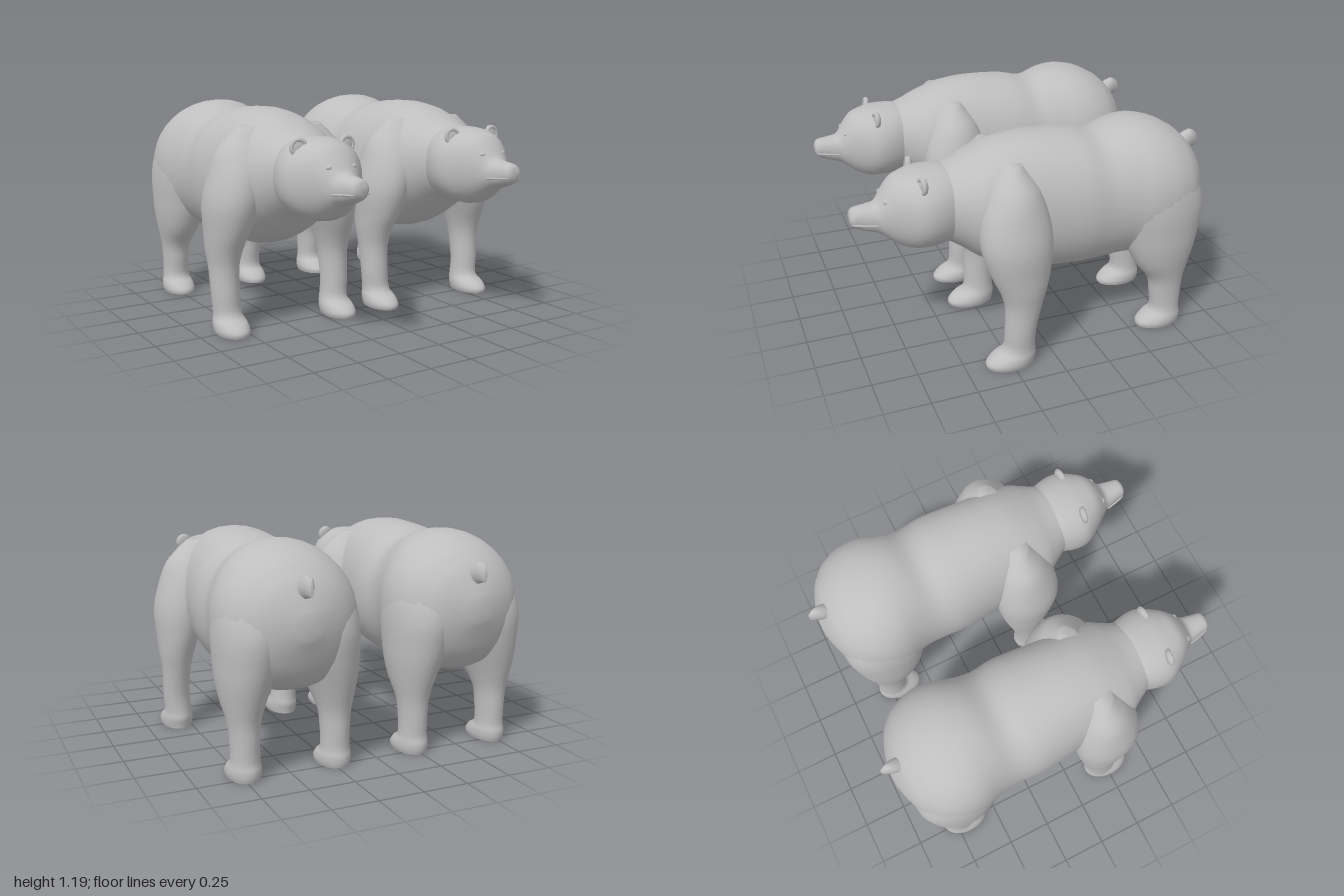
import * as THREE from 'three';
import { toCreasedNormals } from 'three/addons/utils/BufferGeometryUtils.js';

const fur = new THREE.MeshStandardMaterial({ color: 0xbebebe });
fur.name = 'grey fur';

// Catmull-Rom value between rows b and c
const spline = (a, b, c, d, t) =>
  b + 0.5 * t * (c - a + t * (2 * a - 5 * b + 4 * c - d + t * (3 * (b - c) + d - a)));

// Smooth loft through rows [t, centreU, centreV, radiusU, radiusV], t ascending.
// Along 'z' the section axes are (x, y); along 'y' they are (z, x).
function loft(rows, axis, { sides = 28, steps = 3, power = 2 } = {}) {
  const rings = [];
  const at = (i) => rows[Math.min(Math.max(i, 0), rows.length - 1)];
  for (let i = 0; i < rows.length - 1; i++) {
    for (let s = 0; s < steps; s++) {
      rings.push(rows[i].map((v, k) =>
        spline(at(i - 1)[k], v, at(i + 1)[k], at(i + 2)[k], s / steps)));
    }
  }
  rings.push(rows[rows.length - 1]);

  const pos = [], index = [];
  const put = (t, u, v) => (axis === 'z' ? pos.push(u, v, t) : pos.push(v, t, u));
  const bend = (c) => Math.sign(c) * Math.abs(c) ** (2 / power);
  for (const [t, cu, cv, ru, rv] of rings) {
    for (let j = 0; j < sides; j++) {
      const a = (j / sides) * Math.PI * 2;
      put(t, cu + ru * bend(Math.cos(a)), cv + rv * bend(Math.sin(a)));
    }
  }
  const last = rings.length - 1, start = rings.length * sides;
  put(rings[0][0], rings[0][1], rings[0][2]);
  put(rings[last][0], rings[last][1], rings[last][2]);
  for (let j = 0; j < sides; j++) {
    const k = (j + 1) % sides;
    for (let i = 0; i < last; i++) {
      const a = i * sides + j, b = i * sides + k;
      index.push(a, b, b + sides, a, b + sides, a + sides);
    }
    index.push(start, k, j, start + 1, last * sides + j, last * sides + k);
  }
  const geo = new THREE.BufferGeometry();
  geo.setAttribute('position', new THREE.Float32BufferAttribute(pos, 3));
  geo.setIndex(index);
  return toCreasedNormals(geo, 1.0);
}

// Rows given as [z, bottom, top, halfWidth]
const spineRows = (rows) =>
  rows.map(([z, lo, hi, w]) => [z, 0, (lo + hi) / 2, w, (hi - lo) / 2]);

function part(name, geo, parent) {
  const mesh = new THREE.Mesh(geo, fur);
  mesh.name = name;
  parent.add(mesh);
  return mesh;
}

const bodyGeo = loft(spineRows([
  [-0.965, 0.74, 0.87, 0.06], [-0.94, 0.67, 0.94, 0.15], [-0.9, 0.57, 1.02, 0.24],
  [-0.85, 0.5, 1.075, 0.3], [-0.8, 0.46, 1.115, 0.34], [-0.7, 0.43, 1.165, 0.375],
  [-0.58, 0.415, 1.19, 0.375], [-0.46, 0.41, 1.18, 0.34], [-0.34, 0.402, 1.14, 0.33],
  [-0.2, 0.4, 1.17, 0.34], [0, 0.41, 1.185, 0.32], [0.12, 0.43, 1.18, 0.31],
  [0.24, 0.475, 1.16, 0.305], [0.36, 0.55, 1.115, 0.29], [0.43, 0.605, 1.085, 0.25],
  [0.52, 0.66, 1.06, 0.2], [0.6, 0.68, 1.04, 0.18],
]), 'z', { sides: 36, power: 2.1 });

const headGeo = loft(spineRows([
  [0.42, 0.68, 1.04, 0.17], [0.5, 0.66, 1.065, 0.205], [0.58, 0.65, 1.07, 0.228],
  [0.65, 0.648, 1.067, 0.228], [0.71, 0.653, 1.055, 0.198], [0.77, 0.68, 1.035, 0.155],
  [0.82, 0.72, 0.98, 0.115], [0.86, 0.75, 0.922, 0.083], [0.9, 0.762, 0.91, 0.072],
  [0.95, 0.78, 0.905, 0.06], [0.985, 0.797, 0.897, 0.052], [1, 0.82, 0.872, 0.036],
]), 'z', { sides: 32, power: 2.2 });

const tailGeo = loft([
  [-1, 0, 0.992, 0.008, 0.035], [-0.95, 0, 1.003, 0.033, 0.058], [-0.86, 0, 0.965, 0.05, 0.05],
], 'z', { sides: 10 });

// Legs run from the sole up into the shoulder or hip: [y, z, x, radiusZ, radiusX]
const frontLegGeo = loft([
  [0, 0.255, 0.335, 0.132, 0.083], [0.025, 0.255, 0.335, 0.136, 0.09],
  [0.06, 0.235, 0.335, 0.123, 0.087], [0.1, 0.206, 0.335, 0.088, 0.076],
  [0.2, 0.202, 0.342, 0.085, 0.076], [0.35, 0.185, 0.342, 0.1, 0.08],
  [0.45, 0.185, 0.338, 0.127, 0.097], [0.55, 0.195, 0.325, 0.162, 0.117],
  [0.7, 0.207, 0.3, 0.193, 0.15], [0.85, 0.207, 0.26, 0.182, 0.157],
  [0.97, 0.2, 0.2, 0.145, 0.175], [1.04, 0.2, 0.16, 0.105, 0.155],
  [1.1, 0.2, 0.14, 0.06, 0.11],
], 'y');

const hindLegGeo = loft([
  [0, -0.685, 0.25, 0.13, 0.083], [0.025, -0.688, 0.25, 0.134, 0.09],
  [0.06, -0.705, 0.25, 0.117, 0.087], [0.1, -0.725, 0.25, 0.087, 0.076],
  [0.2, -0.722, 0.25, 0.094, 0.076], [0.3, -0.715, 0.25, 0.106, 0.085],
  [0.4, -0.69, 0.245, 0.158, 0.113], [0.5, -0.68, 0.235, 0.197, 0.14],
  [0.6, -0.675, 0.22, 0.225, 0.162], [0.75, -0.665, 0.2, 0.255, 0.185],
  [0.9, -0.65, 0.16, 0.23, 0.2], [1.02, -0.64, 0.12, 0.15, 0.17],
], 'y');

const earGeo = new THREE.SphereGeometry(1, 16, 12);
const earRimGeo = new THREE.TorusGeometry(0.038, 0.012, 8, 20);
const eyeGeo = new THREE.SphereGeometry(1, 12, 8);
const noseGeo = new THREE.SphereGeometry(1, 16, 10);
const mouthGeo = new THREE.TubeGeometry(new THREE.CatmullRomCurve3(
  [[-0.079, 0.815, 0.87], [-0.064, 0.822, 0.94], [-0.046, 0.826, 0.986], [0, 0.822, 0.994],
    [0.046, 0.826, 0.986], [0.064, 0.822, 0.94], [0.079, 0.815, 0.87]]
    .map((p) => new THREE.Vector3(...p))), 24, 0.006, 6);

// Mirror a geometry across x, restoring corner order
function mirrored(geo) {
  const g = geo.clone().scale(-1, 1, 1);
  for (const name of ['position', 'normal']) {
    const a = g.attributes[name].array;
    for (let i = 0; i < a.length; i += 9) {
      for (let k = 0; k < 3; k++) [a[i + 3 + k], a[i + 6 + k]] = [a[i + 6 + k], a[i + 3 + k]];
    }
  }
  return g;
}
const legGeos = {
  left: { front: frontLegGeo, hind: hindLegGeo },
  right: { front: mirrored(frontLegGeo), hind: mirrored(hindLegGeo) },
};

function makeBear(name) {
  const bear = new THREE.Group();
  bear.name = name;
  part('body', bodyGeo, bear);
  part('head', headGeo, bear);
  part('tail', tailGeo, bear);
  part('mouth', mouthGeo, bear);
  const nose = part('nose', noseGeo, bear);
  nose.scale.set(0.045, 0.028, 0.026);
  nose.position.set(0, 0.872, 0.973);

  for (const [side, s] of [['left', 1], ['right', -1]]) {
    part(`${side}FrontLeg`, legGeos[side].front, bear);
    part(`${side}HindLeg`, legGeos[side].hind, bear);

    // Cupped round ear
    const ear = new THREE.Group();
    ear.name = `${side}Ear`;
    ear.position.set(s * 0.14, 1.025, 0.645);
    ear.rotation.set(-0.1, s * 0.15, 0);
    part('earBack', earGeo, ear).scale.set(0.046, 0.05, 0.018);
    part('earRim', earRimGeo, ear).position.z = 0.008;
    bear.add(ear);

    const eye = part(`${side}Eye`, eyeGeo, bear);
    eye.scale.set(0.019, 0.012, 0.014);
    eye.position.set(s * 0.07, 0.94, 0.822);
    eye.rotation.z = -s * 0.15;
  }
  return bear;
}

export function createModel() {
  const model = new THREE.Group();
  model.name = 'pairOfBears';
  for (const [name, x] of [['leftBear', 0.485], ['rightBear', -0.485]]) {
    const bear = makeBear(name);
    bear.position.x = x;
    model.add(bear);
  }
  return model;
}
